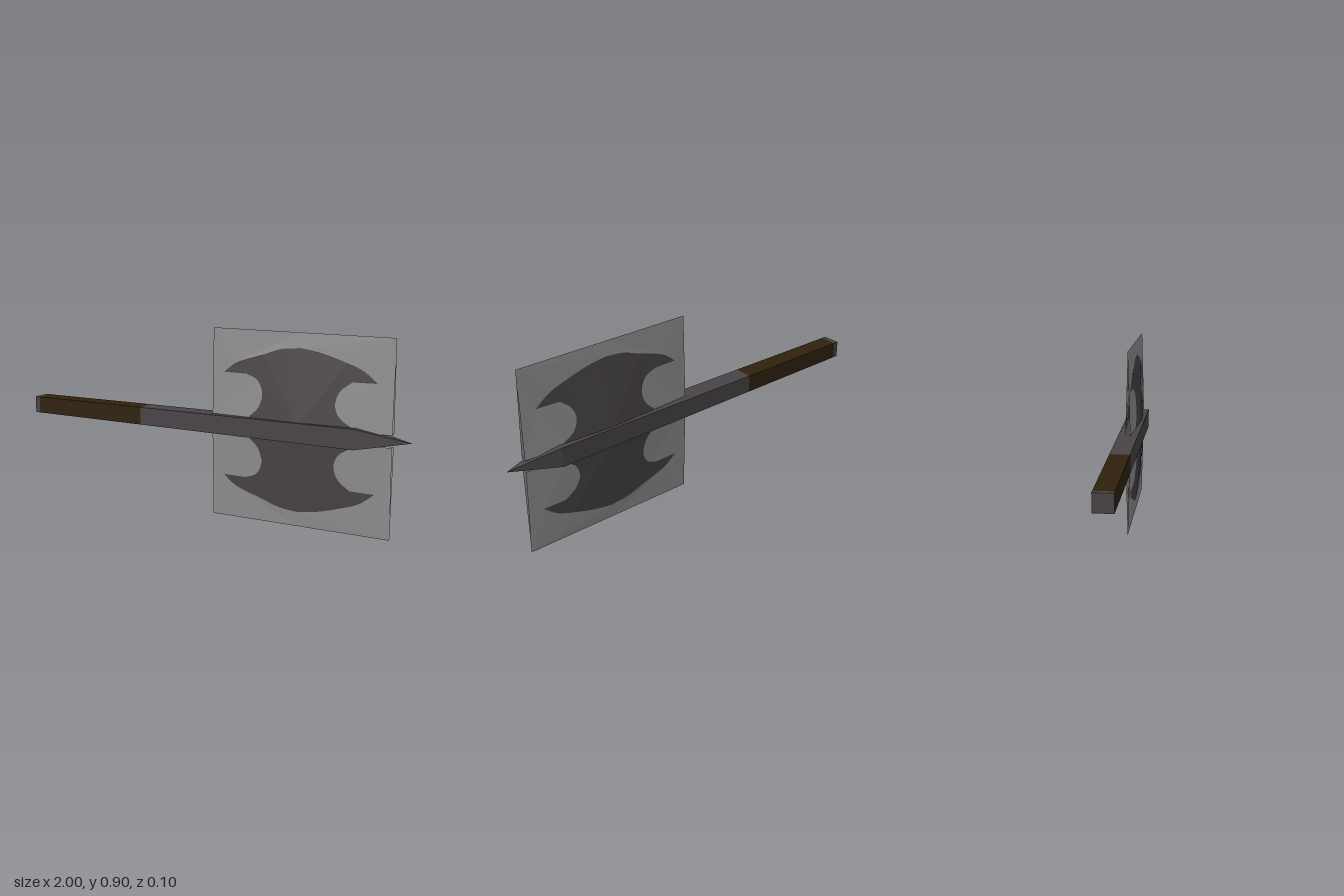
import * as THREE from 'three';

const AXIS_Y = 0.4525;   // height of the haft's centre line
const MID_X = 0.475;     // ridge of the blades
const BASE_Y = 0.48, TOP_Y = 0.905;

const steel = new THREE.MeshStandardMaterial({ color: 0x484346, side: THREE.DoubleSide });
steel.name = 'dark steel';
const plate = new THREE.MeshStandardMaterial({ color: 0x8e8e8e, side: THREE.DoubleSide });
plate.name = 'grey plate';
const leather = new THREE.MeshStandardMaterial({ color: 0x2f220e });
leather.name = 'brown grip';

const flat = (geo) => {
  const g = geo.index ? geo.toNonIndexed() : geo;
  g.computeVertexNormals();
  return g;
};

// Half height of the slightly tapered square haft at x
const haftHalf = (x) => 0.041 + (0.006 * (x + 1)) / 1.75;

// Square bar along x between two stations
function bar(name, x0, x1, half0, half1, material, open = false) {
  const geo = new THREE.CylinderGeometry(half1 * Math.SQRT2, half0 * Math.SQRT2, x1 - x0, 4, 1, open);
  geo.rotateY(Math.PI / 4).rotateZ(-Math.PI / 2).scale(1, 1, 1.08);
  geo.translate((x0 + x1) / 2, AXIS_Y, 0);
  const mesh = new THREE.Mesh(flat(geo), material);
  mesh.name = name;
  return mesh;
}

const spline = (pts) =>
  new THREE.SplineCurve(pts.map(([x, y]) => new THREE.Vector2(x, y))).getPoints(16);
const v2 = (x, y) => new THREE.Vector2(x, y);

// Half outlines of the blade, from the ridge at the cutting edge round to the haft
const outlines = {
  rear: [
    ...spline([[MID_X, 0.835], [0.38, 0.825], [0.29, 0.795], [0.16, 0.752], [0.09, 0.7]]),
    ...spline([[0.205, 0.7], [0.265, 0.675], [0.292, 0.615], [0.275, 0.55], [0.23, 0.505]]),
    v2(0.22, BASE_Y),
  ],
  fore: [
    ...spline([[MID_X, 0.835], [0.57, 0.82], [0.675, 0.79], [0.77, 0.755], [0.84, 0.702]]),
    ...spline([[0.725, 0.7], [0.67, 0.655], [0.65, 0.595], [0.67, 0.54], [0.72, 0.505]]),
    v2(0.73, BASE_Y),
  ],
};

// Bend a flat outline into one leaf of the hollow wedge-shaped blade
function leaf(points, endX, ySign, zSign) {
  const geo = new THREE.ShapeGeometry(new THREE.Shape(points));
  const p = geo.attributes.position;
  for (let i = 0; i < p.count; i++) {
    const x = p.getX(i), y = p.getY(i);
    const u = Math.abs((x - MID_X) / (endX - MID_X));
    const v = (TOP_Y - y) / (TOP_Y - BASE_Y);
    p.setY(i, AXIS_Y + ySign * (y - AXIS_Y));
    p.setZ(i, zSign * (0.038 - 0.026 * u) * v);
  }
  // Keep the outside as the front after mirroring
  if (ySign * zSign < 0) {
    const idx = geo.index;
    for (let i = 0; i < idx.count; i += 3) {
      const a = idx.getX(i);
      idx.setX(i, idx.getX(i + 2));
      idx.setX(i + 2, a);
    }
  }
  return flat(geo);
}

function blade(name, ySign) {
  const group = new THREE.Group();
  group.name = name;
  for (const zSign of [1, -1]) {
    for (const [part, endX] of [['rear', 0.03], ['fore', 0.915]]) {
      const outline = outlines[part];
      const inner = [...outline, v2(MID_X, BASE_Y)];
      const outer = [...outline, v2(endX, BASE_Y), v2(endX, TOP_Y), v2(MID_X, TOP_Y)];
      for (const [label, pts, mat] of [['Blade', inner, steel], ['Plate', outer, plate]]) {
        const mesh = new THREE.Mesh(leaf(pts, endX, ySign, zSign), mat);
        mesh.name = `${part}${label}${zSign > 0 ? 'Front' : 'Back'}`;
        group.add(mesh);
      }
    }
  }
  return group;
}

export function createModel() {
  const model = new THREE.Group();
  model.name = 'doubleAxe';

  // Haft: pommel, grip, shaft and spike
  const stations = [['pommel', -1, -0.975, steel], ['grip', -0.975, -0.355, leather], ['shaft', -0.355, 0.75, steel]];
  for (const [name, x0, x1, mat] of stations) {
    model.add(bar(name, x0, x1, haftHalf(x0), haftHalf(x1), mat, name !== 'pommel'));
  }
  model.add(bar('spike', 0.75, 1, haftHalf(0.75), 0, steel, true));

  // Mirrored blades above and below the haft
  model.add(blade('upperBlade', 1), blade('lowerBlade', -1));
  return model;
}
